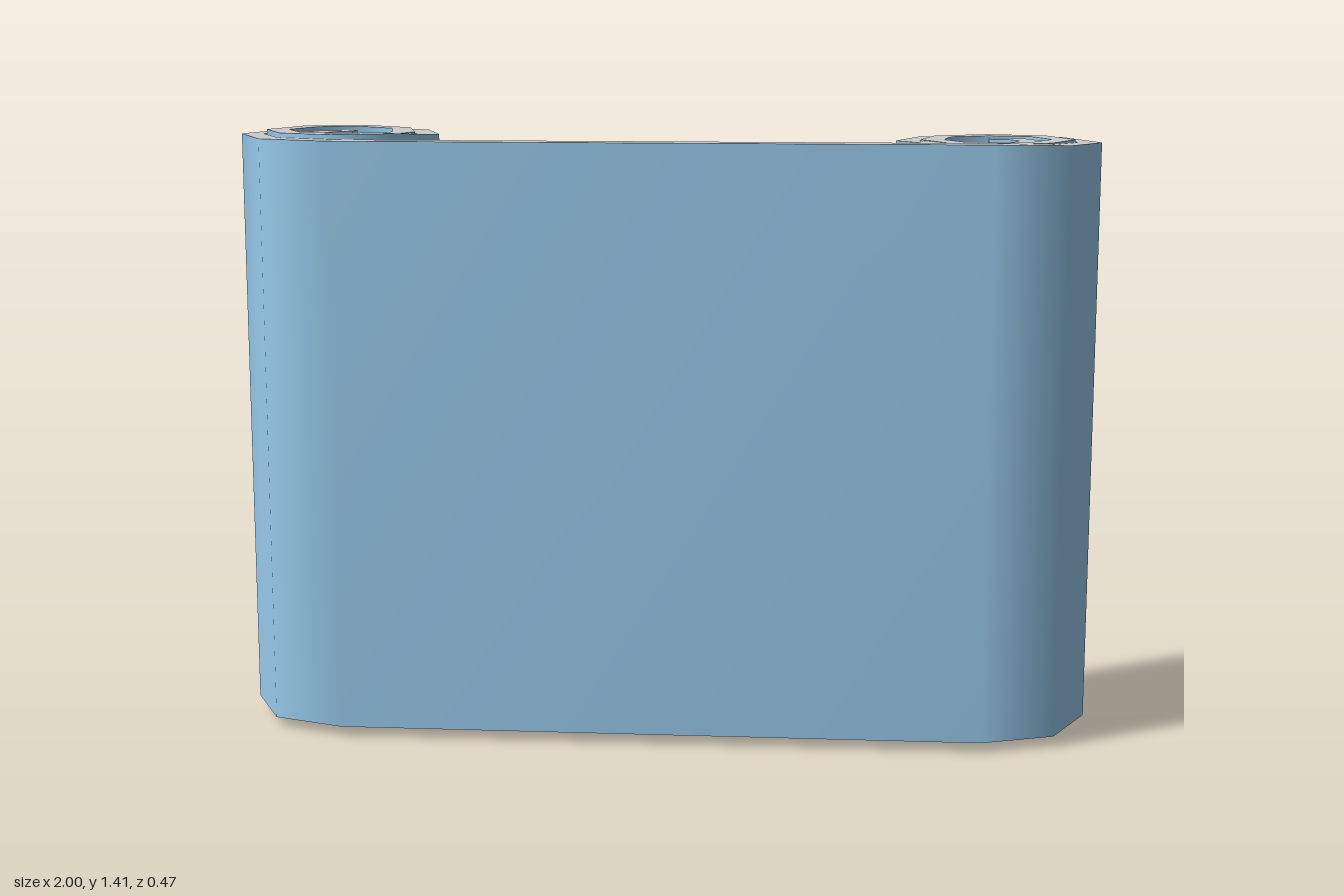
import * as THREE from 'three';

// Outer radius of the rolled sheet at every eighth turn, from the flat sheet inwards
const RADII = [0.23, 0.24, 0.252, 0.248, 0.235, 0.23, 0.217, 0.186, 0.178, 0.183, 0.192,
  0.191, 0.181, 0.178, 0.16, 0.145, 0.123, 0.123, 0.118, 0.115, 0.11];
const THICK = 0.053;
const AXIS_X = 0.748;

// Piecewise linear lookup through [step, value] pairs
function ramp(stops, t) {
  for (let i = 1; i < stops.length; i++) {
    const [a, va] = stops[i - 1], [b, vb] = stops[i];
    if (t <= b) return va + (vb - va) * (t - a) / (b - a);
  }
  return stops[stops.length - 1][1];
}

// Slightly uneven top and bottom edges of each roll
const EDGES = {
  '-1': {
    top: [[0, 1.397], [6, 1.399], [7, 1.408], [12, 1.408], [16, 1.4], [20, 1.4]],
    bottom: [[0, 0.024], [6, 0.024], [14, 0.018], [15, 0], [20, 0]],
  },
  '1': {
    top: [[0, 1.397], [2, 1.388], [5, 1.388], [9, 1.395], [20, 1.39]],
    bottom: [[0, 0.024], [2, 0.026], [4, 0.034], [7, 0.02], [9, 0.015], [20, 0.012]],
  },
};

// Cross-section of the sheet at one step of a roll
function section(side, i) {
  const angle = i * Math.PI / 4;
  const at = r => [side * (AXIS_X + r * Math.sin(angle)), r * Math.cos(angle)];
  return {
    outer: at(RADII[i]),
    inner: at(RADII[i] - THICK),
    top: ramp(EDGES[side].top, i),
    bottom: ramp(EDGES[side].bottom, i),
  };
}

// Smooth ribbon of quads between two rails of points
function ribbon(railA, railB) {
  const pos = [], index = [];
  railA.forEach((a, k) => {
    pos.push(...a, ...railB[k]);
    if (k > 0) {
      const p = 2 * (k - 1);
      index.push(p, p + 2, p + 3, p, p + 3, p + 1);
    }
  });
  const g = new THREE.BufferGeometry();
  g.setAttribute('position', new THREE.Float32BufferAttribute(pos, 3));
  g.setIndex(index);
  g.computeVertexNormals();
  return g;
}

export function createModel() {
  const group = new THREE.Group();
  group.name = 'scroll';
  const blue = new THREE.MeshStandardMaterial({ color: 0x99ccee });
  const grey = new THREE.MeshStandardMaterial({ color: 0xcccccc });

  // One continuous sheet: left core, outwards, across the front, into the right core
  const path = [];
  for (let i = RADII.length - 1; i >= 0; i--) path.push(section(-1, i));
  for (let i = 0; i < RADII.length; i++) path.push(section(1, i));

  const rail = (face, level) => path.map(s => [s[face][0], s[level], s[face][1]]);
  const outerTop = rail('outer', 'top'), outerBottom = rail('outer', 'bottom');
  const innerTop = rail('inner', 'top'), innerBottom = rail('inner', 'bottom');

  const add = (name, a, b, material) => {
    const mesh = new THREE.Mesh(ribbon(a, b), material);
    mesh.name = name;
    group.add(mesh);
  };

  // Broad faces of the sheet
  add('outerFace', outerBottom, outerTop, blue);
  add('innerFace', innerTop, innerBottom, blue);

  // Paper edges
  add('topEdge', outerTop, innerTop, grey);
  add('bottomEdge', innerBottom, outerBottom, grey);

  // Ends of the sheet inside each roll
  const n = path.length - 1;
  add('leftEnd', [innerBottom[0], outerBottom[0]], [innerTop[0], outerTop[0]], blue);
  add('rightEnd', [outerBottom[n], innerBottom[n]], [outerTop[n], innerTop[n]], blue);

  return group;
}
